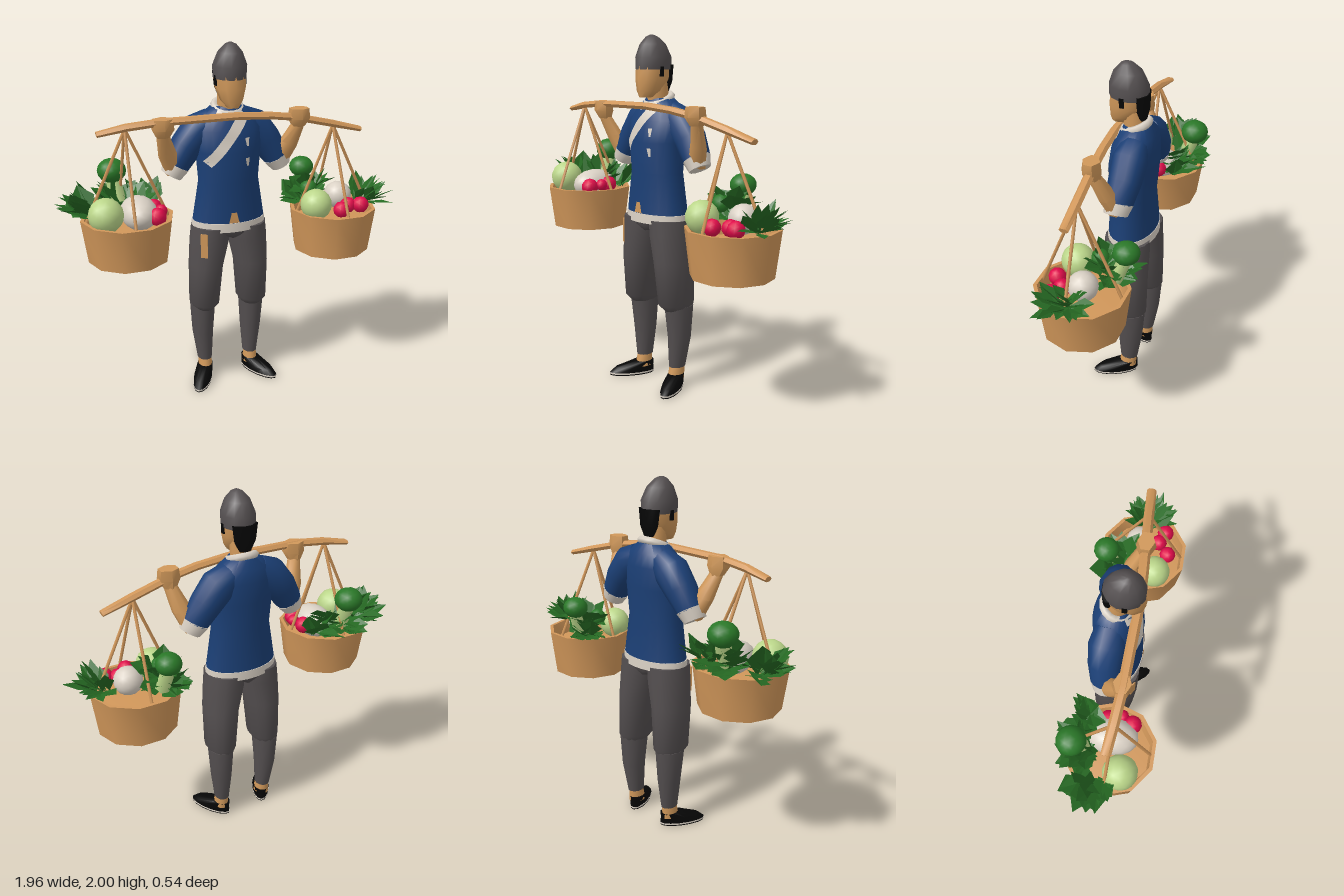
import * as THREE from 'three';
import { toCreasedNormals, mergeGeometries } from 'three/addons/utils/BufferGeometryUtils.js';

const material = (name, color, side = THREE.FrontSide) => {
  const m = new THREE.MeshStandardMaterial({ color, side });
  m.name = name;
  return m;
};
const M = {
  skin: material('skin', 0xd0985a),
  wood: material('wood', 0xd1975a),
  blue: material('blue cloth', 0x1b3f75),
  grey: material('grey cloth', 0x544f50),
  black: material('black', 0x060606),
  cream: material('cream', 0xdad1c5, THREE.DoubleSide),
  leaf: material('leaf green', 0x266a23, THREE.DoubleSide),
  green: material('broccoli green', 0x2a7828),
  pale: material('pale green', 0xbbd68a),
  red: material('radish red', 0xe00c4a),
};
const CX = -0.02; // centre line of the body
const V = (x, y, z) => new THREE.Vector3(x, y, z);

function add(parent, name, geometry, mat) {
  const mesh = new THREE.Mesh(geometry, mat);
  mesh.name = name;
  parent.add(mesh);
  return mesh;
}

// Closed skin over elliptical rings [x, y, z, a, b]; rings follow the path, or stay level.
function loft(rings, n = 12, level = true, crease = 0.9) {
  const pos = [], index = [], w = V(0, 0, 1);
  const centres = rings.map((r) => V(r[0], r[1], r[2]));
  rings.forEach((r, i) => {
    const t = level ? V(0, 1, 0)
      : centres[Math.min(i + 1, rings.length - 1)].clone().sub(centres[Math.max(i - 1, 0)]).normalize();
    const u = t.cross(w).normalize();
    for (let j = 0; j < n; j++) {
      const q = ((j + 0.5) / n) * Math.PI * 2;
      const p = centres[i].clone().addScaledVector(u, Math.cos(q) * r[3]).addScaledVector(w, Math.sin(q) * r[4]);
      pos.push(p.x, p.y, p.z);
    }
  });
  const last = (rings.length - 1) * n, c0 = rings.length * n;
  for (const c of [centres[0], centres[centres.length - 1]]) pos.push(c.x, c.y, c.z);
  for (let j = 0; j < n; j++) {
    const k = (j + 1) % n;
    for (let i = 0; i < last; i += n) index.push(i + j, i + n + j, i + k, i + k, i + n + j, i + n + k);
    index.push(c0, j, k, c0 + 1, last + k, last + j);
  }
  const g = new THREE.BufferGeometry();
  g.setAttribute('position', new THREE.Float32BufferAttribute(pos, 3));
  g.setIndex(index);
  return toCreasedNormals(g, crease);
}

// Shirt profile: y, half width, z centre, half depth
const SHIRT = [[1.02, 0.208, -0.025, 0.133], [1.25, 0.172, -0.022, 0.12], [1.42, 0.185, -0.024, 0.132],
  [1.54, 0.195, -0.035, 0.122], [1.61, 0.15, -0.045, 0.1], [1.66, 0.085, -0.045, 0.07]];

// Point lying just proud of the shirt front
function onShirt(x, y) {
  let i = 0;
  while (i < SHIRT.length - 2 && y > SHIRT[i + 1][0]) i++;
  const f = (y - SHIRT[i][0]) / (SHIRT[i + 1][0] - SHIRT[i][0]);
  const [, rx, cz, rz] = SHIRT[i].map((v, k) => v + (SHIRT[i + 1][k] - v) * f);
  return [x, y, cz + rz * Math.sqrt(Math.max(0, 1 - ((x - CX) / rx) ** 2)) + 0.006];
}

// Thin band on the shirt front from (x0, y0) to (x1, y1), width w0 tapering to w1
function shirtBand(x0, y0, x1, y1, w0, w1 = w0) {
  const pos = [], index = [], steps = 10;
  const len = Math.hypot(x1 - x0, y1 - y0);
  for (let i = 0; i <= steps; i++) {
    const f = i / steps, h = (w0 + (w1 - w0) * f) / 2 / len;
    const x = x0 + (x1 - x0) * f, y = y0 + (y1 - y0) * f;
    const nx = -(y1 - y0) * h, ny = (x1 - x0) * h;
    pos.push(...onShirt(x - nx, y - ny), ...onShirt(x + nx, y + ny));
    if (i) index.push(2 * i - 2, 2 * i, 2 * i - 1, 2 * i - 1, 2 * i, 2 * i + 1);
  }
  const g = new THREE.BufferGeometry();
  g.setAttribute('position', new THREE.Float32BufferAttribute(pos, 3));
  g.setIndex(index);
  g.computeVertexNormals();
  return g;
}

let seed = 7;
const rand = (a, b) => {
  seed = (seed * 16807) % 2147483647;
  return a + (b - a) * (seed / 2147483647);
};

// Bunch of broad folded leaves fanning from a base, facing a heading in the ground plane
function leaves([x, y, z], count, heading, spread, length, width, steep = 1) {
  const parts = [];
  for (let i = 0; i < count; i++) {
    const L = length * rand(0.75, 1.1), w = width * rand(0.8, 1.2), fold = w * 0.2;
    const g = new THREE.BufferGeometry();
    g.setAttribute('position', new THREE.Float32BufferAttribute([
      0, 0, 0, L * 0.6, fold, w, L, 0, 0,
      0, 0, 0, L, 0, 0, L * 0.6, fold, -w], 3));
    g.computeVertexNormals();
    g.rotateX(rand(-0.5, 0.5)).rotateZ(rand(0.05, steep));
    g.rotateY(-(heading + spread * ((i + 0.5) / count * 2 - 1)));
    parts.push(g.translate(x + rand(-0.03, 0.03), y, z + rand(-0.03, 0.03)));
  }
  return mergeGeometries(parts);
}

function ball(parent, name, mat, [x, y, z, r], sy = 1, sz = 1) {
  const m = add(parent, name, toCreasedNormals(new THREE.IcosahedronGeometry(r, r > 0.06 ? 2 : 1), 0.7), mat);
  m.position.set(x, y, z);
  m.scale.set(1, sy, sz);
}

function rod(parent, name, a, b, r, mat) {
  const m = add(parent, name, new THREE.CylinderGeometry(r, r, a.distanceTo(b), 5), mat);
  m.position.copy(a).lerp(b, 0.5);
  m.quaternion.setFromUnitVectors(V(0, 1, 0), b.clone().sub(a).normalize());
}

// Basket with four cords up to the pole
function basket(parent, name, x, bottom, rim, apex) {
  const g = new THREE.Group();
  g.name = name;
  parent.add(g);
  const profile = [[0, bottom], [0.222, bottom], [0.254, rim], [0.234, rim], [0.22, rim - 0.08], [0, rim - 0.06]];
  const tub = new THREE.LatheGeometry(profile.map((p) => new THREE.Vector2(...p)), 10).rotateY(Math.PI / 10);
  add(g, 'tub', toCreasedNormals(tub, 0.7).translate(x, 0, 0.018), M.wood);
  for (const [dx, dz] of [[1, 0], [-1, 0], [0, 1], [0, -1]])
    rod(g, 'cord', apex, V(x + dx * 0.225, rim - 0.02, 0.018 + dz * 0.225), 0.009, M.wood);
  return g;
}

function broccoli(parent, x, y, z, r) {
  ball(parent, 'broccoliHead', M.green, [x, y, z, r], 0.85);
  rod(parent, 'broccoliStem', V(x + 0.02, y - 0.17, z + 0.05), V(x, y - 0.03, z), r * 0.55, M.pale);
}

export function createModel() {
  const model = new THREE.Group();
  model.name = 'basketCarrier';
  seed = 7;

  // Head
  add(model, 'neck', loft([[CX, 1.58, -0.035, 0.06, 0.06], [CX, 1.76, -0.018, 0.058, 0.064]]), M.skin);
  add(model, 'face', loft([[CX, 1.665, 0.06, 0.032, 0.04], [CX, 1.7, 0.035, 0.06, 0.075],
    [CX, 1.765, 0.012, 0.082, 0.103], [CX, 1.85, 0.006, 0.086, 0.1]], 10, true, 1.1), M.skin);
  add(model, 'hair', loft([[CX, 1.695, -0.072, 0.035, 0.02], [CX, 1.75, -0.072, 0.062, 0.032],
    [CX, 1.84, -0.07, 0.074, 0.036]]), M.black);
  for (const s of [1, -1])
    add(model, 'sideburn', new THREE.BoxGeometry(0.008, 0.055, 0.026).translate(CX + s * 0.082, 1.805, 0.016), M.black);
  add(model, 'cap', loft([[CX, 1.815, 0.004, 0.088, 0.107], [CX, 1.88, 0.005, 0.092, 0.107],
    [CX, 1.95, 0.01, 0.066, 0.078], [CX, 1.99, 0.016, 0.032, 0.036], [CX, 2.0, 0.018, 0.012, 0.014]], 12), M.grey);

  // Shirt with trim
  add(model, 'shirt', loft(SHIRT.map(([y, rx, cz, rz]) => [CX, y, cz, rx, rz]), 24), M.blue);
  add(model, 'hem', loft([[CX, 0.97, -0.025, 0.215, 0.138], [CX, 1.022, -0.025, 0.212, 0.136]], 24), M.cream);
  const collar = add(model, 'collar', new THREE.TorusGeometry(0.072, 0.022, 6, 16), M.cream);
  collar.position.set(CX, 1.65, -0.035);
  collar.rotation.x = Math.PI / 2 + 0.4;
  add(model, 'lapel', shirtBand(0.05, 1.625, -0.165, 1.36, 0.062, 0.05), M.cream);
  add(model, 'collarFlap', shirtBand(-0.1, 1.635, -0.05, 1.6, 0.035, 0.02), M.cream);
  for (const y of [1.5, 1.39]) add(model, 'button', shirtBand(0.05, y, 0.052, y - 0.045, 0.026, 0.012), M.cream);
  add(model, 'waistKnot', shirtBand(-0.03, 1.085, -0.03, 1.025, 0.03, 0.06), M.skin);

  // Arms and legs, mirrored
  for (const s of [1, -1]) {
    const limb = new THREE.Group();
    limb.name = s > 0 ? 'leftLimbs' : 'rightLimbs';
    limb.position.x = CX;
    model.add(limb);
    add(limb, 'sleeve', loft([[s * 0.08, 1.58, -0.055, 0.07, 0.075], [s * 0.155, 1.53, -0.06, 0.098, 0.095],
      [s * 0.23, 1.44, -0.06, 0.09, 0.088], [s * 0.295, 1.34, -0.05, 0.075, 0.076]], 12, false), M.blue);
    add(limb, 'cuff', loft([[s * 0.29, 1.345, -0.05, 0.078, 0.078], [s * 0.322, 1.29, -0.045, 0.06, 0.064]], 12, false), M.cream);
    add(limb, 'forearm', loft([[s * 0.3, 1.315, -0.04, 0.057, 0.05], [s * 0.35, 1.42, -0.005, 0.052, 0.045],
      [s * 0.385, 1.54, 0.045, 0.035, 0.035]], 8, false), M.skin);
    add(limb, 'hand', loft([[s * 0.385, 1.53, 0.045, 0.038, 0.038], [s * 0.385, 1.575, 0.055, 0.064, 0.054],
      [s * 0.385, 1.63, 0.055, 0.058, 0.046]], 6), M.skin);

    add(limb, 'trouserLeg', loft([[s * 0.145, 0.465, -0.05, 0.062, 0.085], [s * 0.144, 0.505, -0.04, 0.086, 0.115],
      [s * 0.134, 0.75, -0.03, 0.098, 0.128], [s * 0.112, 0.9, -0.027, 0.113, 0.13], [s * 0.106, 0.99, -0.025, 0.109, 0.13]], 14), M.grey);
    add(limb, 'calf', loft([[s * 0.143, 0.122, -0.05, 0.042, 0.052], [s * 0.15, 0.3, -0.06, 0.061, 0.072],
      [s * 0.15, 0.49, -0.055, 0.073, 0.092]]), M.grey);
    add(limb, 'ankle', loft([[s * 0.143, 0.05, -0.04, 0.043, 0.055], [s * 0.143, 0.13, -0.05, 0.037, 0.047]]), M.skin);

    // Dark shoe with a pale welt
    const shoe = new THREE.Group();
    shoe.name = 'shoe';
    shoe.position.set(s * 0.143, 0, -0.045);
    shoe.rotation.y = s * 0.48;
    limb.add(shoe);
    add(shoe, 'sole', loft([[0, 0, 0.078, 0.05, 0.134], [0, 0.007, 0.078, 0.052, 0.137]], 14), M.black);
    add(shoe, 'welt', loft([[0, 0.007, 0.078, 0.052, 0.137], [0, 0.016, 0.078, 0.052, 0.137]], 14), M.cream);
    add(shoe, 'upper', loft([[0, 0.016, 0.078, 0.051, 0.136], [0, 0.045, 0.062, 0.051, 0.117],
      [0, 0.08, 0.002, 0.045, 0.058]], 14), M.black);
  }
  add(model, 'seat', loft([[CX, 0.92, -0.027, 0.03, 0.1], [CX, 0.95, -0.025, 0.13, 0.124],
    [CX, 1, -0.025, 0.2, 0.13]], 16), M.grey);
  const patch = add(model, 'trouserPatch', new THREE.BoxGeometry(0.04, 0.14, 0.008), M.skin);
  patch.position.set(-0.195, 0.895, 0.079);
  patch.rotation.y = -0.55;

  // Carrying pole
  add(model, 'pole', loft([[-0.75, 1.57, 0.03, 0.015, 0.026], [-0.6, 1.598, 0.045, 0.021, 0.028], [-0.42, 1.615, 0.06, 0.021, 0.028],
    [0, 1.618, 0.072, 0.021, 0.028], [0.2, 1.603, 0.065, 0.021, 0.028], [0.35, 1.58, 0.055, 0.021, 0.028],
    [0.58, 1.522, 0.04, 0.021, 0.028], [0.755, 1.475, 0.03, 0.016, 0.026]], 6, false), M.wood);

  // Right basket and produce
  const R = basket(model, 'rightBasket', -0.607, 0.865, 1.105, V(-0.605, 1.59, 0.045));
  ball(R, 'cabbage', M.pale, [-0.735, 1.15, 0.095, 0.095]);
  ball(R, 'turnip', M.cream, [-0.545, 1.12, 0.025, 0.1], 0.9, 1.4);
  for (const p of [[-0.455, 1.125, -0.01, 0.05], [-0.465, 1.12, 0.12, 0.05], [-0.43, 1.13, 0.06, 0.035]]) ball(R, 'radish', M.red, p);
  broccoli(R, -0.645, 1.31, -0.17, 0.08);
  add(R, 'sideLeaves', leaves([-0.79, 1.1, -0.04], 22, Math.PI * 1.05, 1.1, 0.2, 0.06, 1.2), M.leaf);
  add(R, 'backLeaves', leaves([-0.62, 1.1, -0.07], 28, -Math.PI / 2, 1.6, 0.21, 0.065, 0.95), M.leaf);
  add(R, 'innerLeaves', leaves([-0.48, 1.1, -0.09], 14, -Math.PI / 2, 1.5, 0.17, 0.045, 1.2), M.leaf);
  add(R, 'tallLeaves', leaves([-0.65, 1.14, -0.09], 10, -Math.PI / 2, 2, 0.17, 0.05, 1.4), M.leaf);

  // Left basket and produce
  const L = basket(model, 'leftBasket', 0.608, 0.77, 1.025, V(0.58, 1.515, 0.04));
  ball(L, 'cabbage', M.pale, [0.468, 1.072, 0.1, 0.09]);
  ball(L, 'turnip', M.cream, [0.655, 1.075, -0.01, 0.08]);
  for (const p of [[0.6, 1.045, 0.16, 0.047], [0.67, 1.045, 0.1, 0.047], [0.735, 1.05, 0.13, 0.048]]) ball(L, 'radish', M.red, p);
  broccoli(L, 0.493, 1.215, -0.18, 0.072);
  ball(L, 'broccoliHead', M.green, [0.475, 1.13, -0.03, 0.05]);
  add(L, 'sideLeaves', leaves([0.78, 1.03, 0.03], 32, 0, 1.7, 0.18, 0.032, 1.05), M.leaf);
  add(L, 'backLeaves', leaves([0.47, 1.03, -0.1], 20, -Math.PI / 2, 1.7, 0.16, 0.06), M.leaf);
  add(L, 'tallLeaves', leaves([0.51, 1.1, -0.07], 14, -Math.PI / 2, 2.6, 0.16, 0.05, 1.2), M.leaf);

  return model;
}
